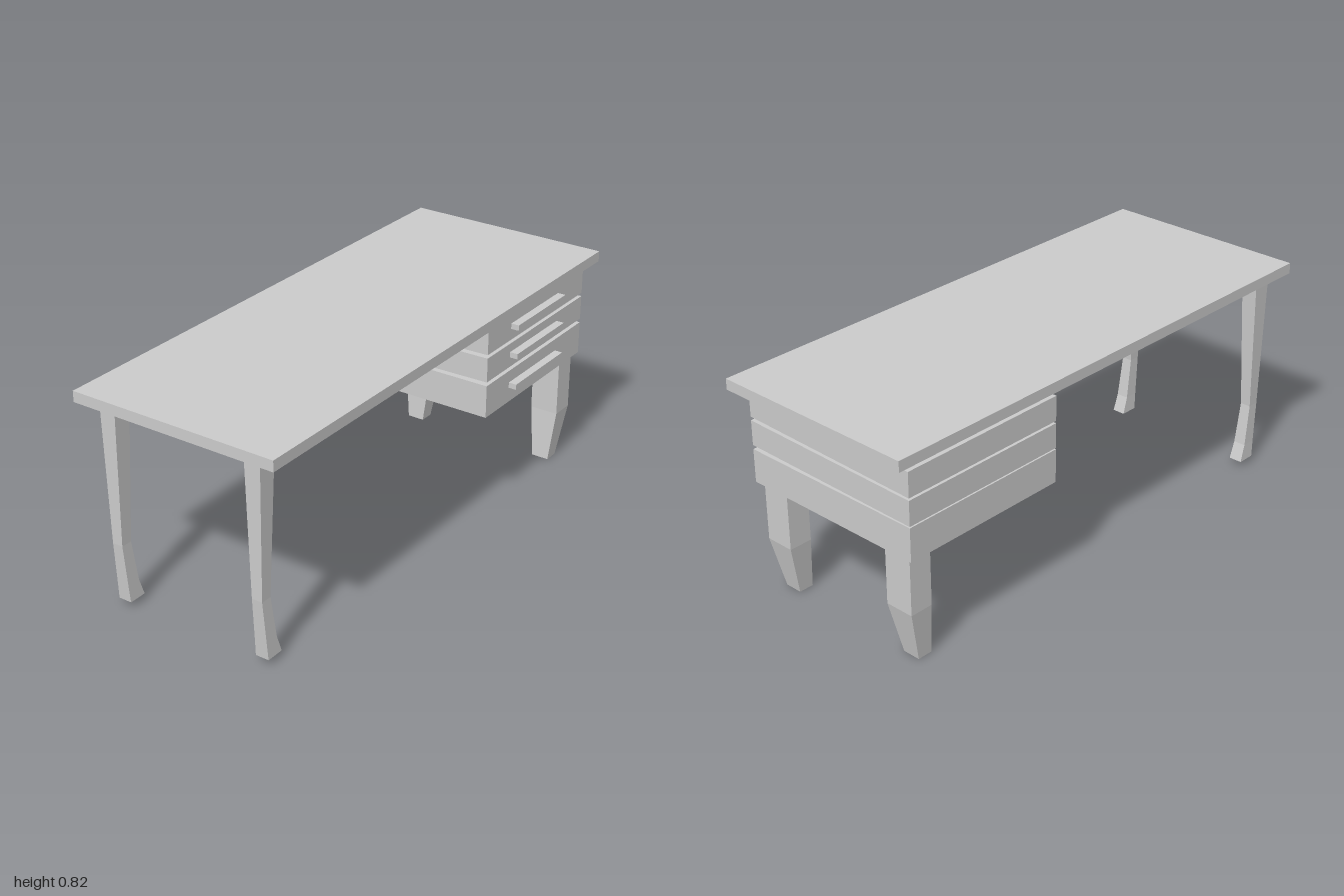
import * as THREE from 'three';

const material = new THREE.MeshStandardMaterial({ color: 0xcccccc, flatShading: true });

function part(name, geometry) {
  const mesh = new THREE.Mesh(geometry, material);
  mesh.name = name;
  return mesh;
}

// Box given by its limits; slope raises it towards +z
function block(x0, x1, y0, y1, z0, z1, slope = 0) {
  const g = new THREE.BoxGeometry(x1 - x0, y1 - y0, z1 - z0);
  g.translate((x0 + x1) / 2, (y0 + y1) / 2, (z0 + z1) / 2);
  const p = g.attributes.position;
  for (let i = 0; i < p.count; i++) p.setY(i, p.getY(i) + slope * p.getZ(i));
  g.computeVertexNormals();
  return g;
}

// Square leg through sections [y, x0, x1, z0, z1], listed from the foot up
function leg(sections, dz) {
  const n = sections.length - 1;
  const g = new THREE.BoxGeometry(1, 1, 1, 1, n, 1).toNonIndexed();
  const p = g.attributes.position;
  for (let i = 0; i < p.count; i++) {
    const [y, x0, x1, z0, z1] = sections[Math.round((p.getY(i) + 0.5) * n)];
    p.setXYZ(i, p.getX(i) < 0 ? x0 : x1, y, (p.getZ(i) < 0 ? z0 : z1) + dz);
  }
  g.computeVertexNormals();
  return g;
}

export function createModel() {
  const desk = new THREE.Group();
  desk.name = 'desk';

  desk.add(part('tabletop', block(-1, 1, 0.785, 0.825, -0.4, 0.4)));

  // Three stacked drawers with bar handles; the upper two tilt slightly
  const drawers = [
    ['bottom', 0.425, 0.55, 0, 0.482],
    ['middle', 0.56, 0.653, 0.0135, 0.603],
    ['top', 0.664, 0.757, 0.02, 0.715],
  ];
  for (const [name, y0, y1, slope, handleY] of drawers) {
    const drawer = new THREE.Group();
    drawer.name = name + 'Drawer';
    drawer.add(part('drawerBox', block(0.262, 0.936, y0, y1, -0.37, 0.37, slope)));
    drawer.add(part('handle', block(0.417, 0.75, handleY, handleY + 0.021, 0.365, 0.401)));
    desk.add(drawer);
  }

  // Short, thick legs under the drawers
  const shortLeg = [
    [0, 0.812, 0.869, 0.262, 0.33],
    [0.2, 0.824, 0.914, 0.241, 0.352],
    [0.425, 0.824, 0.914, 0.241, 0.352],
  ];
  desk.add(part('shortFrontLeg', leg(shortLeg, 0)));
  desk.add(part('shortBackLeg', leg(shortLeg, -0.581)));

  // Long, slender legs with curved feet
  const longLeg = [
    [0.025, -0.916, -0.847, 0.243, 0.295],
    [0.09, -0.921, -0.868, 0.245, 0.293],
    [0.25, -0.932, -0.889, 0.247, 0.288],
    [0.785, -0.936, -0.863, 0.235, 0.299],
  ];
  desk.add(part('longFrontLeg', leg(longLeg, 0)));
  desk.add(part('longBackLeg', leg(longLeg, -0.586)));

  return desk;
}
